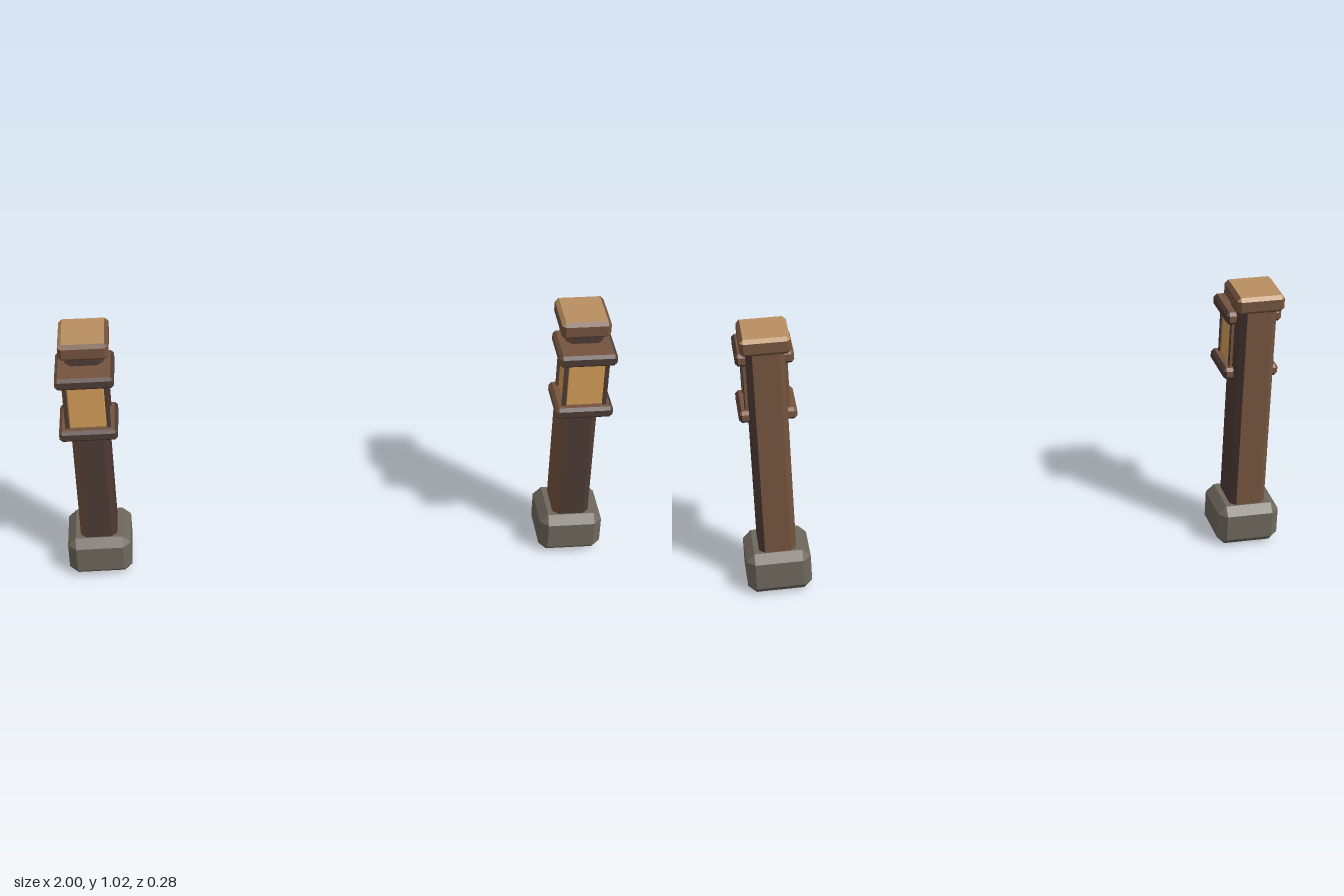
import * as THREE from 'three';
import { ConvexGeometry } from 'three/addons/geometries/ConvexGeometry.js';

const mat = (name, color) => {
  const m = new THREE.MeshStandardMaterial({ color });
  m.name = name;
  return m;
};

// Box with all edges chamfered by c
function chamferBox(w, h, d, c) {
  const pts = [];
  for (const x of [-w / 2, w / 2]) for (const y of [-h / 2, h / 2]) for (const z of [-d / 2, d / 2]) {
    const ix = x - Math.sign(x) * c, iy = y - Math.sign(y) * c, iz = z - Math.sign(z) * c;
    pts.push(new THREE.Vector3(x, iy, iz), new THREE.Vector3(ix, y, iz), new THREE.Vector3(ix, iy, z));
  }
  return new ConvexGeometry(pts);
}

// Sorts the triangles into two material groups by their normal
function splitFaces(geo, isSecond) {
  const pos = geo.attributes.position, nor = geo.attributes.normal;
  const n = new THREE.Vector3(), lists = [[], []];
  for (let i = 0; i < pos.count; i += 3) {
    n.fromBufferAttribute(nor, i);
    lists[isSecond(n) ? 1 : 0].push(i, i + 1, i + 2);
  }
  geo.setIndex([...lists[0], ...lists[1]]);
  geo.addGroup(0, lists[0].length, 0);
  geo.addGroup(lists[0].length, lists[1].length, 1);
  return geo;
}

// Weathered faces lie towards the top, back and -x
const worn = n => -1.2 * n.x + n.y - n.z > 0.05;
const wornTop = n => n.y > 0.4 && worn(n);

export function createModel() {
  const stone = mat('stone', 0x6e675c);
  const darkWood = mat('darkWood', 0x4d3a34);
  const wood = mat('wood', 0x74533e);
  const paleWood = mat('paleWood', 0xb88f60);
  const glass = mat('amberGlass', 0xd49d58);

  function makePost(side) {
    const g = new THREE.Group();
    g.name = side > 0 ? 'leftPost' : 'rightPost';

    // Adds a block spanning y0..y1 and z0..z1, centred at x
    const block = (name, x, w, y0, y1, z0, z1, c, material, rule) => {
      const geo = chamferBox(w, y1 - y0, z1 - z0, c);
      if (rule) splitFaces(geo, rule);
      const m = new THREE.Mesh(geo, material);
      m.name = name;
      m.position.set(x, (y0 + y1) / 2, (z0 + z1) / 2);
      g.add(m);
    };
    const timber = [darkWood, wood];

    // Footing, shaft and cap
    block('stoneBase', 0, 0.233, 0.002, 0.163, -0.141, 0.091, 0.03, stone);
    block('shaft', 0, 0.134, 0, 0.99, -0.107, 0.057, 0.02, timber, worn);
    block('cap', 0, 0.176, 0.957, 1.022, -0.12, 0.07, 0.013, [wood, paleWood], wornTop);

    // Lantern: two plates, glass box and corner bars
    block('lanternFloor', 0, 0.206, 0.663, 0.708, -0.045, 0.144, 0.011, timber, worn);
    block('lanternRoof', 0, 0.206, 0.885, 0.932, -0.045, 0.144, 0.011, timber, worn);
    block('lanternGlass', 0, 0.144, 0.695, 0.898, -0.02, 0.113, 0.01, glass);
    for (const x of [-0.073, 0.073]) for (const z of [-0.016, 0.112]) {
      block('lanternBar', x, 0.015, 0.69, 0.9, z - 0.0075, z + 0.0075, 0.003, timber, worn);
    }

    g.position.x = side * 0.8835;
    return g;
  }

  const model = new THREE.Group();
  model.name = 'lanternPosts';
  model.add(makePost(1), makePost(-1));
  return model;
}
